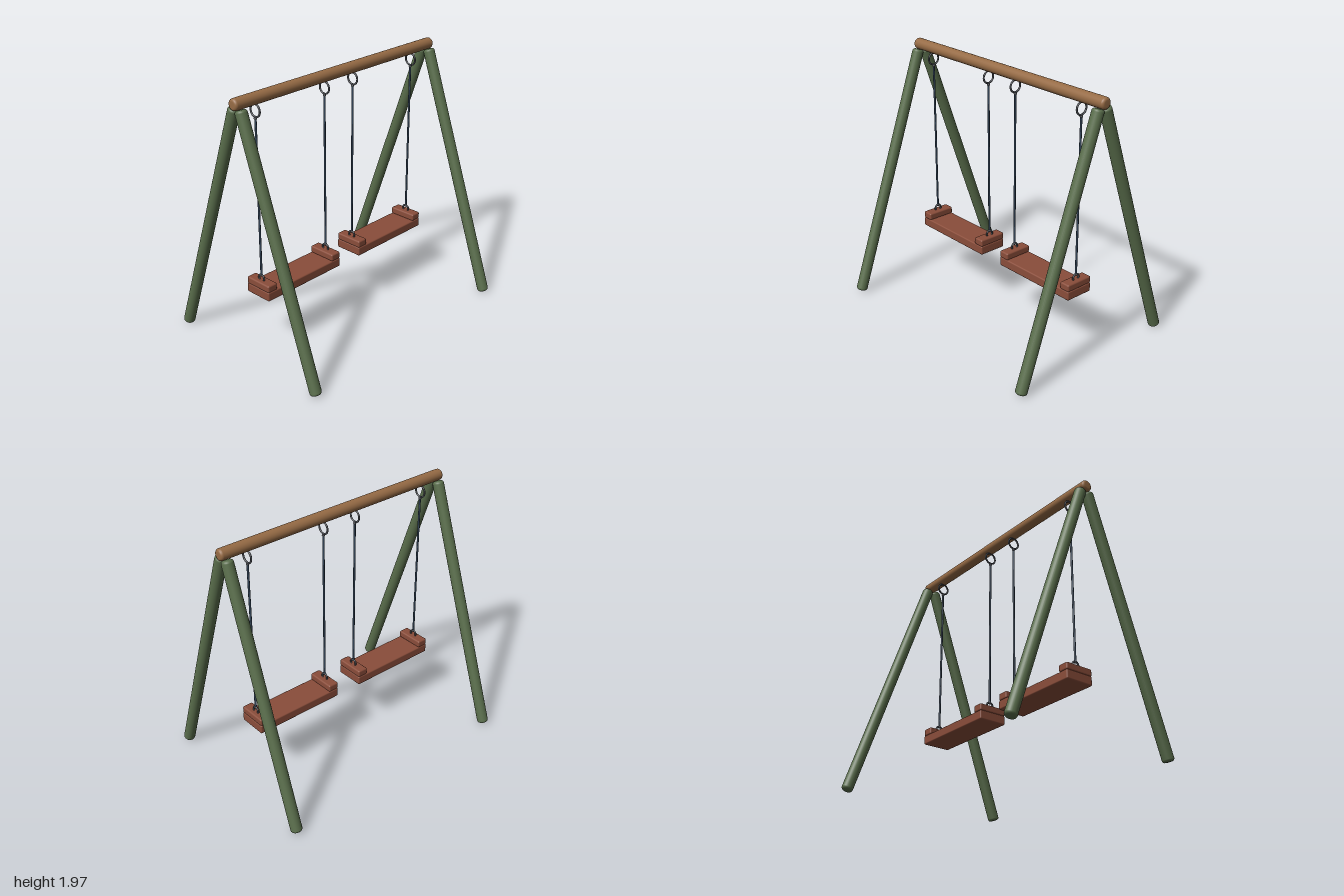
import * as THREE from 'three';
import { RoundedBoxGeometry } from 'three/addons/geometries/RoundedBoxGeometry.js';

const material = (name, color) => {
  const m = new THREE.MeshStandardMaterial({ color });
  m.name = name;
  return m;
};

// Round log along y, centred, with softly rounded ends
function logGeometry(radius, length, bevel) {
  const h = length / 2;
  const top = [];
  for (let i = 0; i <= 4; i++) {
    const a = (i / 4) * Math.PI / 2;
    top.push(new THREE.Vector2(radius - bevel + bevel * Math.cos(a), h - bevel + bevel * Math.sin(a)));
  }
  top.push(new THREE.Vector2(0, h));
  const bottom = top.map(p => new THREE.Vector2(p.x, -p.y)).reverse();
  return new THREE.LatheGeometry([...bottom, ...top], 28);
}

export function createModel() {
  const group = new THREE.Group();
  group.name = 'swingSet';

  const beamWood = material('beam brown', 0x966b45);
  const legGreen = material('leg green', 0x5a6e4c);
  const seatRed = material('seat red brown', 0x8a4d3a);
  const ropeSlate = material('rope slate', 0x34465a);
  const ringGrey = material('ring grey', 0x4c4f55);

  const add = (parent, name, geometry, mat, x, y, z) => {
    const mesh = new THREE.Mesh(geometry, mat);
    mesh.name = name;
    mesh.position.set(x, y, z);
    parent.add(mesh);
    return mesh;
  };

  // Top beam
  add(group, 'beam', logGeometry(0.043, 2, 0.02), beamWood, 0, 1.925, 0).rotation.z = Math.PI / 2;

  // Four splayed legs
  const up = new THREE.Vector3(0, 1, 0);
  for (const sx of [1, -1]) {
    for (const sz of [1, -1]) {
      const foot = new THREE.Vector3(sx * 0.955, 0.01, sz * 0.685);
      const head = new THREE.Vector3(sx * 0.955, 1.89, sz * 0.03);
      const dir = head.clone().sub(foot);
      const mid = foot.clone().add(head).multiplyScalar(0.5);
      const name = (sz > 0 ? 'front' : 'back') + (sx > 0 ? 'Left' : 'Right') + 'Leg';
      add(group, name, logGeometry(0.043, dir.length(), 0.02), legGreen, mid.x, mid.y, mid.z)
        .quaternion.setFromUnitVectors(up, dir.normalize());
    }
  }

  // Swings: seat board, end blocks, ropes and rings
  const swing = (name, x) => {
    const s = new THREE.Group();
    s.name = name;
    s.position.x = x;
    group.add(s);
    add(s, 'seat', new RoundedBoxGeometry(0.725, 0.07, 0.225, 2, 0.01), seatRed, 0, 0.485, 0);
    for (const side of [1, -1]) {
      const rx = side * 0.323;
      add(s, 'endBlock', new RoundedBoxGeometry(0.085, 0.055, 0.225, 2, 0.012), seatRed, side * 0.32, 0.545, 0);
      add(s, 'rope', new THREE.CylinderGeometry(0.008, 0.008, 1.18, 12), ropeSlate, rx, 1.2, 0);
      add(s, 'topRing', new THREE.TorusGeometry(0.045, 0.007, 10, 28), ringGrey, rx, 1.84, 0).rotation.y = Math.PI / 2;
      add(s, 'seatRing', new THREE.TorusGeometry(0.027, 0.007, 10, 24), ringGrey, rx, 0.585, 0).rotation.y = Math.PI / 2;
      // Small knots where the rope meets its rings
      for (const y of [0.61, 1.785]) {
        add(s, 'knot', new THREE.SphereGeometry(0.012, 12, 8), ringGrey, rx, y, 0);
      }
    }
  };
  swing('rightSwing', -0.482);
  swing('leftSwing', 0.453);

  return group;
}
